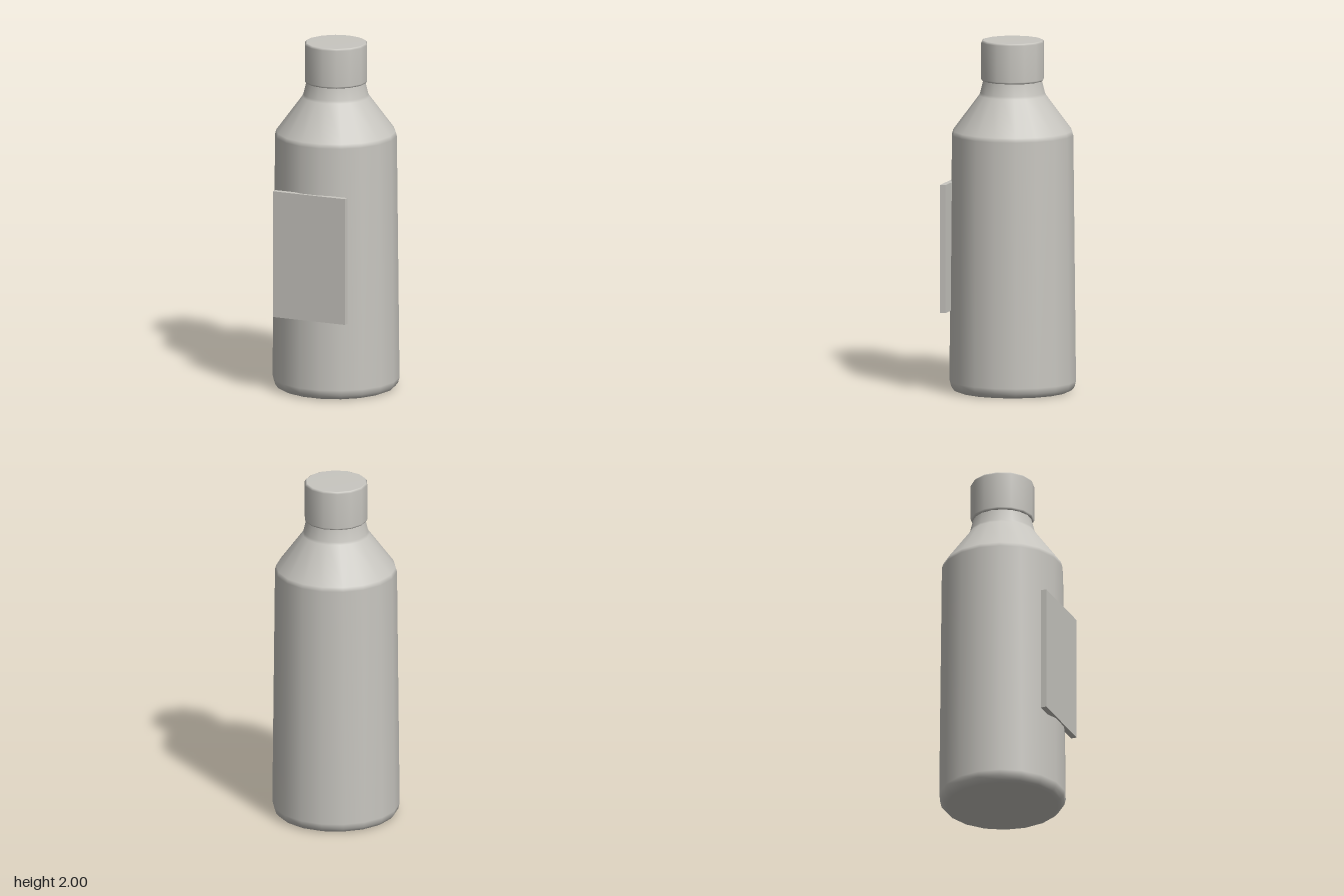
import * as THREE from 'three';

// Revolved part; profile runs [radius, height] from bottom to top
function turned(name, profile, sides, phase, material) {
  const points = profile.map(([r, y]) => new THREE.Vector2(r, y));
  const mesh = new THREE.Mesh(new THREE.LatheGeometry(points, sides, phase), material);
  mesh.name = name;
  mesh.position.z = -0.003;
  return mesh;
}

export function createModel() {
  const group = new THREE.Group();
  group.name = 'bottle';
  const grey = new THREE.MeshStandardMaterial({ color: 0xc8c6c0 });
  grey.name = 'warm grey';

  // Body with rounded foot, slight taper, sloped shoulder and neck
  group.add(turned('body', [
    [0, 0], [0.315, 0], [0.335, 0.008], [0.352, 0.028], [0.36, 0.06],
    [0.345, 1.46], [0.338, 1.485], [0.19, 1.685], [0.184, 1.7], [0.168, 1.765], [0.166, 1.8],
  ], 18, Math.PI / 18, grey));

  // Screw cap with a small bevel on both rims
  group.add(turned('cap', [
    [0, 1.768], [0.168, 1.768], [0.174, 1.77], [0.18, 1.78],
    [0.18, 1.988], [0.173, 1.998], [0.168, 2], [0, 2],
  ], 14, 0, grey));

  // Flat front label panel
  const label = new THREE.Mesh(new THREE.BoxGeometry(0.448, 0.73, 0.033), grey);
  label.name = 'label';
  label.position.set(0, 0.823, 0.341);
  group.add(label);

  return group;
}
